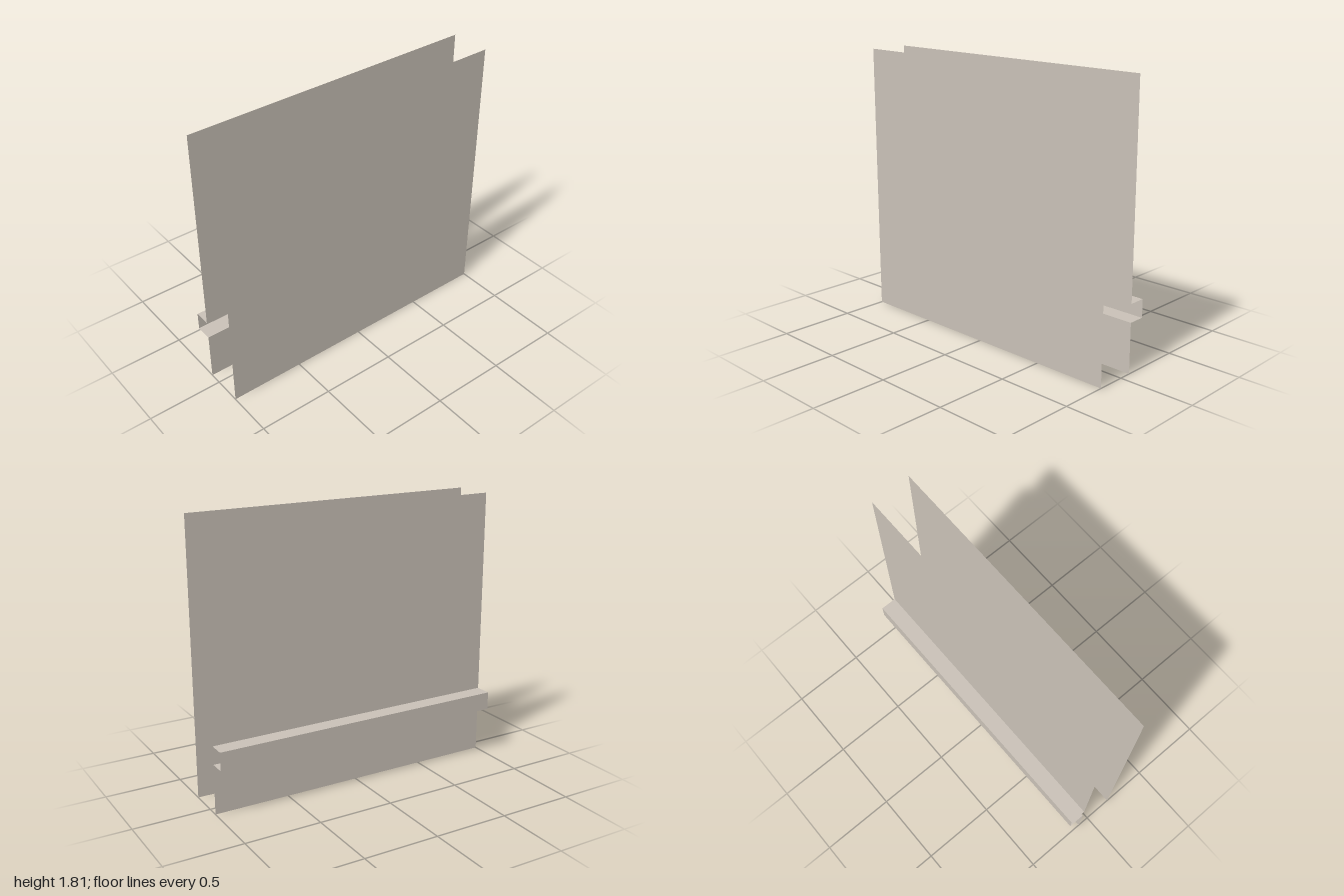
import * as THREE from 'three';

const WIDTH = 2, HEIGHT = 1.81;
const FRONT_Z = 0.19, BACK_Z = -0.08, RAIL_Z = -0.19;
const RAIL_BOTTOM = 0.33, RAIL_TOP = 0.45;

export function createModel() {
  const model = new THREE.Group();
  model.name = 'panel';
  const stone = new THREE.MeshStandardMaterial({ color: 0xc9c1b7, side: THREE.DoubleSide });
  stone.name = 'warm grey';

  // Flat strip spanning the full width between two [y, z] profile points
  function strip(name, [y0, z0], [y1, z1], parent) {
    const geometry = new THREE.PlaneGeometry(WIDTH, Math.hypot(y1 - y0, z1 - z0));
    geometry.rotateX(Math.atan2(z1 - z0, y1 - y0));
    geometry.translate(0, (y0 + y1) / 2, (z0 + z1) / 2);
    const mesh = new THREE.Mesh(geometry, stone);
    mesh.name = name;
    parent.add(mesh);
  }

  // Plain front sheet
  strip('frontSheet', [0, FRONT_Z], [HEIGHT, FRONT_Z], model);

  // Back sheet, folded outward into an open-ended rail; listed top to bottom
  const back = new THREE.Group();
  back.name = 'backSheet';
  model.add(back);
  const profile = [
    [HEIGHT, BACK_Z], [RAIL_TOP, BACK_Z], [RAIL_TOP, RAIL_Z],
    [RAIL_BOTTOM, RAIL_Z], [RAIL_BOTTOM, BACK_Z], [0, BACK_Z],
  ];
  const names = ['upperBack', 'railTop', 'railFace', 'railUnderside', 'lowerBack'];
  names.forEach((name, i) => strip(name, profile[i], profile[i + 1], back));

  return model;
}
